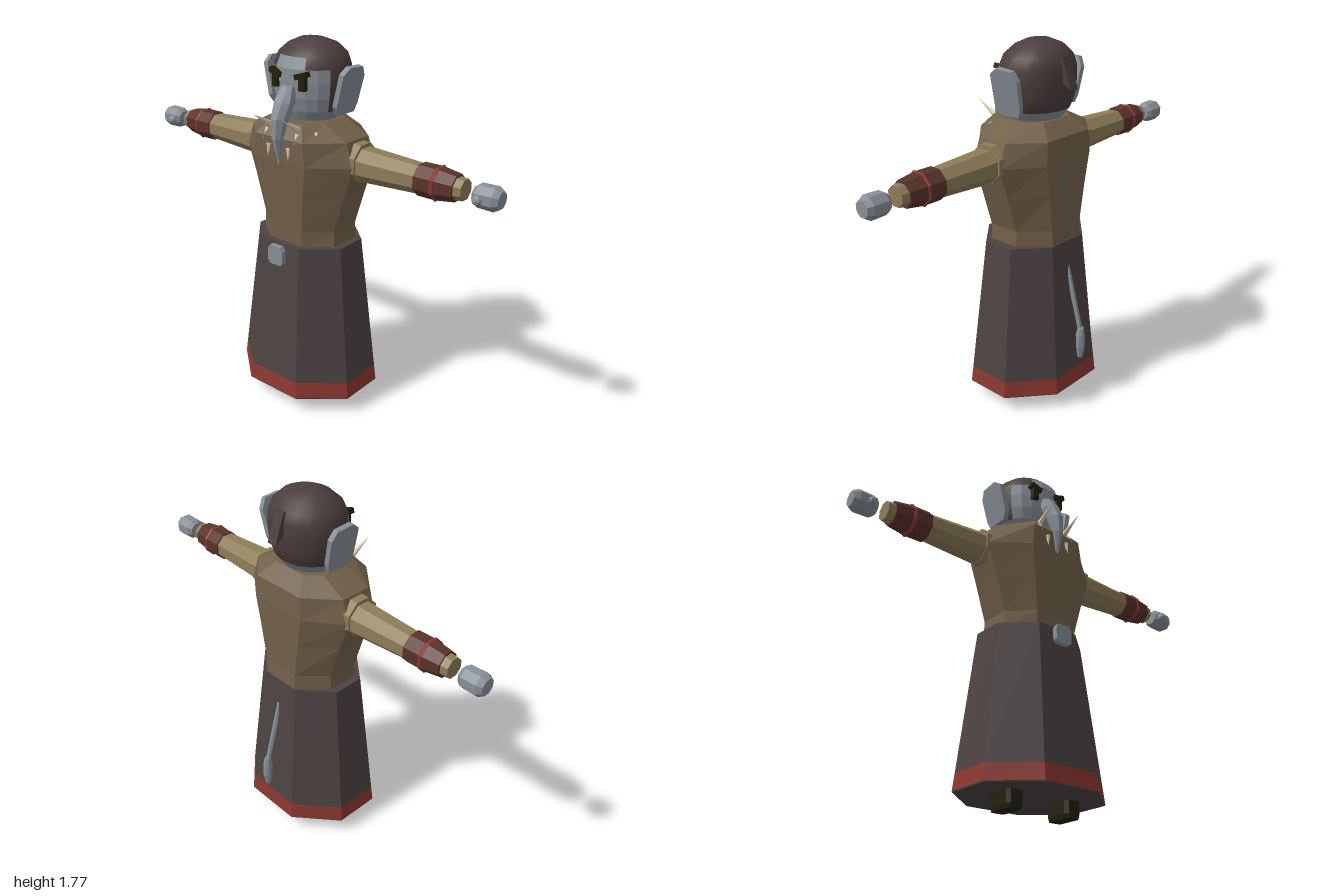
import * as THREE from 'three';
import { mergeVertices } from 'three/addons/utils/BufferGeometryUtils.js';

const mat = (name, color, o = {}) => {
  const m = new THREE.MeshStandardMaterial({ color, ...o });
  m.name = name;
  return m;
};

export function createModel() {
  const flat = { flatShading: true };
  const M = {
    tunic: mat('tunic brown', 0x72614a),
    sleeve: mat('sleeve tan', 0x8d7d58, flat),
    skirt: mat('robe charcoal', 0x4d4242, flat),
    hair: mat('hair brown', 0x4b3d3d),
    red: mat('trim red', 0x8a3730, flat),
    cuff: mat('cuff leather', 0x5a322b, flat),
    skin: mat('skin grey', 0x878f96, flat),
    dark: mat('dark olive', 0x22210c, flat),
    ivory: mat('ivory', 0xdccfb4, flat),
  };
  const root = new THREE.Group();
  root.name = 'robedFigure';
  const add = (name, geo, material, x = 0, y = 0, z = 0) => {
    const m = new THREE.Mesh(geo, material);
    m.name = name;
    m.position.set(x, y, z);
    root.add(m);
    return m;
  };

  // Closed surface through horizontal rings of equal point count, bottom to top.
  // pick(ringIndex, midpoint) chooses the material group of each quad.
  const loft = (rings, { smooth = false, pick = () => 0 } = {}) => {
    const groups = [[], []];
    const n = rings[0].length;
    rings.slice(1).forEach((up, k) => {
      const lo = rings[k];
      for (let i = 0; i < n; i++) {
        const j = (i + 1) % n;
        const mid = lo[i].clone().add(lo[j]).add(up[i]).add(up[j]).multiplyScalar(0.25);
        groups[pick(k, mid)].push(lo[i], lo[j], up[j], lo[i], up[j], up[i]);
      }
    });
    const cap = (ring, flip, g) => {
      for (let i = 1; i < n - 1; i++) {
        groups[g].push(ring[0], ...(flip ? [ring[i + 1], ring[i]] : [ring[i], ring[i + 1]]));
      }
    };
    const top = rings[rings.length - 1];
    cap(rings[0], true, 0);
    cap(top, false, pick(rings.length - 2, top[0]));
    let g = new THREE.BufferGeometry().setFromPoints([...groups[0], ...groups[1]]);
    if (smooth) g = mergeVertices(g);
    g.addGroup(0, groups[0].length, 0);
    g.addGroup(groups[0].length, groups[1].length, 1);
    g.computeVertexNormals();
    return g;
  };

  // Octagon: half width, half width of the front face, front/back z, side face z range
  const oct = ([y, w, f, zf, zb, sf, sb]) =>
    [[-f, zf], [f, zf], [w, sf], [w, sb], [f, zb], [-f, zb], [-w, sb], [-w, sf]]
      .map(([x, z]) => new THREE.Vector3(x, y, z));
  // Ellipse: half width, front z, back z
  const oval = (n) => ([y, w, zf, zb]) => Array.from({ length: n }, (_, i) => {
    const a = ((i + 0.5) / n) * Math.PI * 2;
    return new THREE.Vector3(w * Math.sin(a), y, (zf + zb) / 2 + ((zf - zb) / 2) * Math.cos(a));
  });

  // Robe skirt and its hem
  const hemTop = [0.165, 0.335, 0.145, 0.295, -0.252, 0.136, -0.087];
  add('skirt', loft([hemTop, [0.845, 0.255, 0.11, 0.225, -0.19, 0.1, -0.06]].map(oct)), M.skirt);
  add('hem', loft([[0.085, 0.345, 0.15, 0.305, -0.262, 0.14, -0.09], hemTop].map(oct)), M.red);
  add('skirtUnderside',
    loft([[0.08, 0.343, 0.149, 0.303, -0.26, 0.14, -0.09], [0.085, 0.344, 0.149, 0.304, -0.261, 0.14, -0.09]].map(oct)), M.skirt);

  // Tunic torso
  const torso = loft([
    [0.83, 0.22, 0.1, 0.195, -0.185, 0.1, -0.06],
    [0.92, 0.215, 0.1, 0.198, -0.18, 0.1, -0.06],
    [1.1, 0.27, 0.125, 0.215, -0.185, 0.1, -0.06],
    [1.25, 0.32, 0.15, 0.23, -0.19, 0.1, -0.06],
    [1.36, 0.28, 0.14, 0.232, -0.185, 0.1, -0.06],
    [1.425, 0.15, 0.09, 0.18, -0.115, 0.09, -0.05],
  ].map(oct));
  const tunicFlat = M.tunic;
  tunicFlat.flatShading = true;
  add('torso', torso, tunicFlat);

  // Head: skin with hair over the top and back
  const headY = [1.4, 1.47, 1.53, 1.6, 1.66, 1.71, 1.75, 1.775];
  const headRings = [
    [0.11, 0.11, -0.09], [0.165, 0.145, -0.145], [0.18, 0.162, -0.168], [0.187, 0.167, -0.172],
    [0.185, 0.166, -0.17], [0.165, 0.145, -0.155], [0.12, 0.1, -0.115], [0.06, 0.045, -0.05],
  ].map((r, i) => oval(20)([headY[i], ...r]));
  const isHair = (k, p) => {
    if (k >= 5) return 1;
    if (k === 4) return p.z > 0.1 && Math.abs(p.x) < 0.085 ? 0 : 1;
    return k >= 1 && p.z < 0.065 ? 1 : 0;
  };
  add('head', loft(headRings, { smooth: true, pick: isHair }), [M.skin, M.hair]);

  // Lock of hair behind the head
  const lockShape = new THREE.Shape([[0.14, 1.71], [0.165, 1.715], [0.215, 1.575], [0.16, 1.61]]
    .map(([x, y]) => new THREE.Vector2(x, y)));
  const lock = new THREE.ExtrudeGeometry(lockShape, { depth: 0.05, bevelEnabled: false });
  add('hairLock', lock.translate(0, 0, -0.025).rotateY(Math.PI / 2), M.hair);

  // Trunk
  add('trunk', loft([
    [1.255, 0.01, 0.24, 0.22], [1.36, 0.027, 0.267, 0.21], [1.45, 0.042, 0.265, 0.175],
    [1.52, 0.05, 0.235, 0.14], [1.585, 0.035, 0.19, 0.13],
  ].map(oval(8))), M.skin);

  // Pointed tooth or tusk running between two points
  const spike = (name, a, b, r) => {
    const from = new THREE.Vector3(...a), dir = new THREE.Vector3(...b).sub(from);
    const m = add(name, new THREE.ConeGeometry(r, dir.length(), 6), M.ivory);
    m.position.copy(from).addScaledVector(dir, 0.5);
    m.quaternion.setFromUnitVectors(new THREE.Vector3(0, 1, 0), dir.normalize());
  };
  spike('necklaceTooth', [0, 1.295, 0.23], [0, 1.24, 0.237], 0.012);

  // Cylinder lying along x, facets flat on top
  const armPart = (name, s, x0, r0, x1, r1, material, y = 1.255) => {
    const k = 1 / Math.cos(Math.PI / 8);
    const g = new THREE.CylinderGeometry(r1 * k, r0 * k, x1 - x0, 8);
    g.rotateY(Math.PI / 8).rotateZ((-s * Math.PI) / 2);
    return add(name, g, material, (s * (x0 + x1)) / 2, y, 0.018);
  };
  const earShape = new THREE.Shape([
    [-0.05, 0], [0.06, 0], [0.075, 0.04], [0.085, 0.17], [0.06, 0.215], [-0.03, 0.22], [-0.07, 0.19], [-0.075, 0.04],
  ].map(([x, y]) => new THREE.Vector2(x, y)));

  for (const s of [1, -1]) {
    // Arm
    armPart('shoulder', s, 0.26, 0.088, 0.325, 0.085, M.sleeve, 1.262);
    armPart('sleeve', s, 0.3, 0.077, 0.63, 0.061, M.sleeve);
    armPart('cuff', s, 0.62, 0.068, 0.71, 0.068, M.cuff);
    armPart('cuffEnd', s, 0.71, 0.068, 0.8, 0.056, M.cuff);
    armPart('wrist', s, 0.79, 0.048, 0.835, 0.044, M.sleeve);
    const ring = new THREE.TorusGeometry(0.071, 0.009, 6, 8);
    add('cuffRing', ring.rotateZ(Math.PI / 8).rotateY(Math.PI / 2), M.red, s * 0.71, 1.255, 0.018);

    // Hand and thumb
    armPart('handHeel', s, 0.88, 0.034, 0.9, 0.048, M.skin, 1.25);
    armPart('hand', s, 0.9, 0.048, 0.975, 0.05, M.skin, 1.25);
    armPart('knuckles', s, 0.975, 0.05, 1.0, 0.036, M.skin, 1.25);
    add('thumb', new THREE.SphereGeometry(0.022, 8, 6), M.skin, s * 0.915, 1.245, 0.068);

    // Ear, leaning outward
    const ear = new THREE.ExtrudeGeometry(earShape, { depth: 0.025, bevelEnabled: false });
    add('ear', ear.translate(0, 0, -0.0125).rotateY(Math.PI / 2), M.skin, s * 0.182, 1.46, 0).rotation.z = -s * 0.22;

    // Eye and slanted brow
    add('eye', new THREE.BoxGeometry(0.032, 0.07, 0.03), M.dark, s * 0.077, 1.605, 0.154);
    add('brow', new THREE.BoxGeometry(0.065, 0.024, 0.035), M.dark, s * 0.074, 1.637, 0.157).rotation.z = s * 0.3;

    // Tusk and necklace teeth
    spike('tusk', [s * 0.065, 1.4, 0.13], [s * 0.09, 1.41, 0.225], 0.024);
    spike('tuskTip', [s * 0.08, 1.4, 0.19], [s * 0.085, 1.468, 0.3], 0.015);
    spike('necklaceTooth', [s * 0.058, 1.325, 0.232], [s * 0.062, 1.265, 0.24], 0.012);
    spike('necklaceTooth', [s * 0.09, 1.385, 0.205], [s * 0.094, 1.345, 0.237], 0.012);
    spike('necklaceTooth', [s * 0.15, 1.39, 0.15], [s * 0.165, 1.37, 0.175], 0.01);

    // Foot
    add('foot', loft([
      [0, 0.036, 0.028, 0.125, -0.01, 0.11, 0],
      [0.02, 0.042, 0.03, 0.13, -0.015, 0.11, 0],
      [0.11, 0.042, 0.03, 0.13, -0.015, 0.11, 0],
    ].map(oct)), M.dark, s * 0.162);
  }

  // Belt buckle with cut corners
  const buckle = new THREE.Shape([
    [-0.045, 0.765], [-0.03, 0.75], [0.03, 0.75], [0.045, 0.765], [0.045, 0.825], [0.03, 0.845], [-0.03, 0.845], [-0.045, 0.825],
  ].map(([x, y]) => new THREE.Vector2(x, y)));
  add('buckle', new THREE.ExtrudeGeometry(buckle, { depth: 0.025, bevelEnabled: false }), M.skin, 0, 0, 0.245);

  // Tail and its tuft
  add('tail', loft([
    [0.38, 0.012, -0.27, -0.294], [0.55, 0.013, -0.222, -0.248], [0.73, 0.01, -0.18, -0.2],
  ].map(oval(6))), M.skin);
  add('tailTuft', loft([
    [0.24, 0.014, -0.268, -0.296], [0.3, 0.024, -0.26, -0.306],
    [0.36, 0.025, -0.258, -0.306], [0.405, 0.015, -0.268, -0.298],
  ].map(oval(8))), M.skin);

  return root;
}
